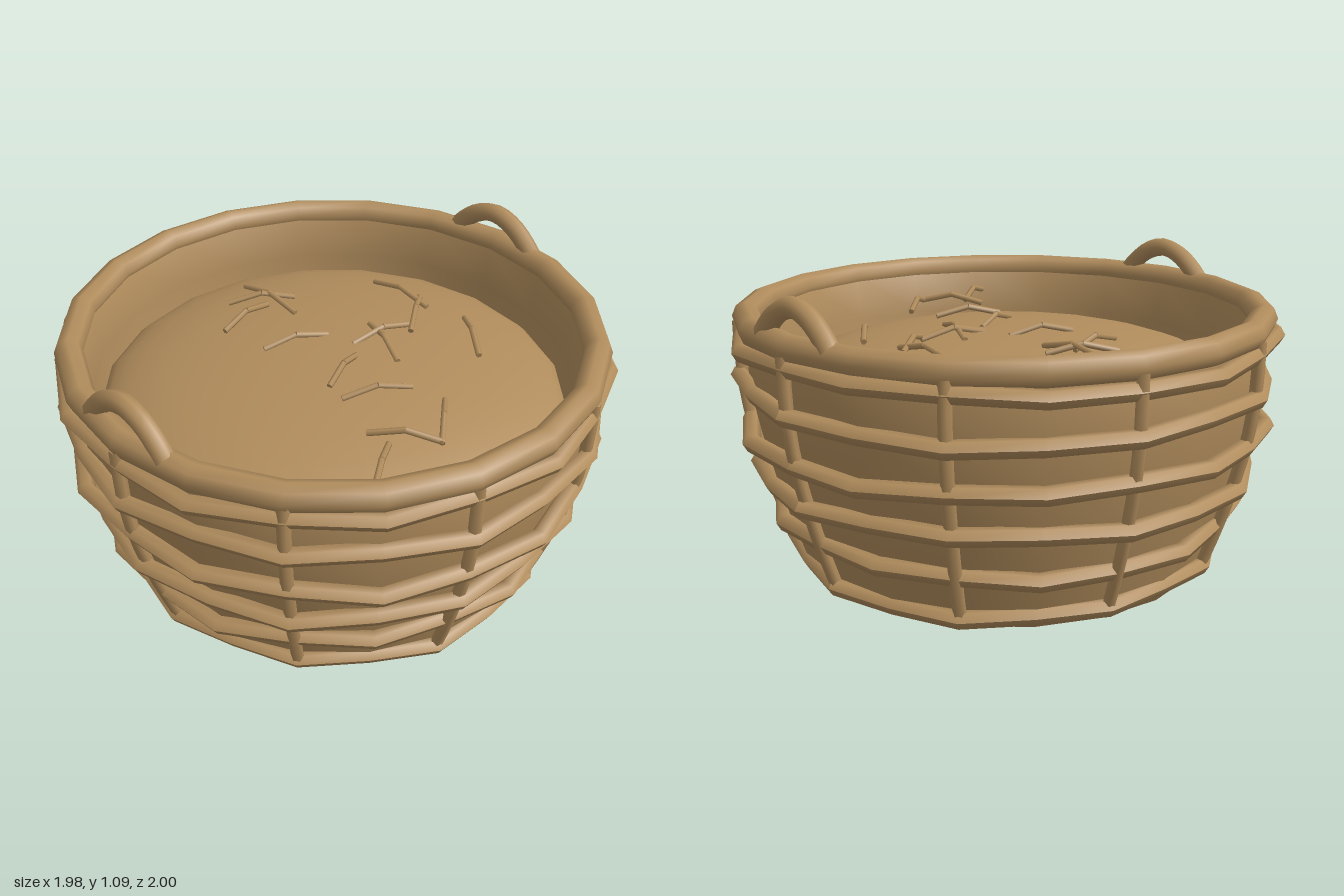
import * as THREE from 'three';

const SIDES = 20;
const STAKES = 10;
const V = (x, y, z) => new THREE.Vector3(x, y, z);

export function createModel() {
  const model = new THREE.Group();
  const wicker = new THREE.MeshStandardMaterial({ color: 0xb08c5c });
  wicker.name = 'wicker';

  const add = (name, geometry, parent = model) => {
    const mesh = new THREE.Mesh(geometry, wicker);
    mesh.name = name;
    parent.add(mesh);
    return mesh;
  };
  const group = (name) => {
    const g = new THREE.Group();
    g.name = name;
    model.add(g);
    return g;
  };

  // Round rod between two points
  const rod = (name, a, b, radius, parent) => {
    const dir = b.clone().sub(a);
    const mesh = add(name, new THREE.CylinderGeometry(radius, radius, dir.length(), 6), parent);
    mesh.position.copy(a).add(b).multiplyScalar(0.5);
    mesh.quaternion.setFromUnitVectors(V(0, 1, 0), dir.normalize());
  };

  // Bowl wall: outside going up, then the inside going down
  const wall = [
    [0.70, 0], [0.75, 0.025], [0.77, 0.08], [0.825, 0.24], [0.87, 0.4], [0.905, 0.55],
    [0.925, 0.7], [0.93, 0.92], [0.88, 0.92], [0.865, 0.75], [0.84, 0.55], [0.8, 0.4],
  ].map(([r, y]) => new THREE.Vector2(r, y));
  add('basketWall', new THREE.LatheGeometry(wall, SIDES));

  // Flat underside
  const base = new THREE.CircleGeometry(0.70, SIDES);
  base.rotateX(Math.PI / 2);
  add('basketBase', base);

  // Rim
  const rim = new THREE.TorusGeometry(0.922, 0.05, 8, SIDES);
  rim.rotateX(Math.PI / 2);
  add('rim', rim).position.y = 0.925;

  // Woven bands, passing alternately over and under the stakes
  const bands = group('wovenBands');
  const rows = [[0.775, 0.075], [0.838, 0.235], [0.893, 0.39], [0.937, 0.545], [0.945, 0.705], [0.955, 0.86]];
  rows.forEach(([radius, y], i) => {
    const g = new THREE.TorusGeometry(radius, 0.032, 6, SIDES);
    g.rotateX(Math.PI / 2);
    const p = g.attributes.position;
    const sign = i % 2 ? -1 : 1;
    for (let k = 0; k < p.count; k++) {
      const x = p.getX(k), z = p.getZ(k);
      const a = Math.atan2(z, x);
      const out = 0.013 * sign * Math.cos(STAKES * a);
      p.setXYZ(k, x + out * Math.cos(a), p.getY(k) + 0.009 * Math.sin(3 * a + i * 1.7), z + out * Math.sin(a));
    }
    g.computeVertexNormals();
    add('wovenBand', g, bands).position.y = y;
  });

  // Upright stakes following the wall
  const stakes = group('stakes');
  const lean = [[0.785, 0.08], [0.842, 0.24], [0.89, 0.4], [0.925, 0.55], [0.947, 0.7], [0.952, 0.91]];
  for (let i = 0; i < STAKES; i++) {
    const curve = new THREE.CatmullRomCurve3(lean.map(([r, y]) => V(r, y, 0)));
    const stake = add('stake', new THREE.TubeGeometry(curve, 8, 0.023, 6), stakes);
    stake.rotation.y = (i / STAKES) * Math.PI * 2;
  }

  // Arched handles on both sides
  for (const side of [1, -1]) {
    const x = 0.9 * side;
    const arch = new THREE.CatmullRomCurve3([
      V(x, 0.92, -0.2), V(x, 0.965, -0.165), V(x, 1.03, -0.085), V(x, 1.055, 0),
      V(x, 1.03, 0.085), V(x, 0.965, 0.165), V(x, 0.92, 0.2),
    ]);
    add(side > 0 ? 'leftHandle' : 'rightHandle', new THREE.TubeGeometry(arch, 14, 0.036, 8));
  }

  // Domed filling
  const filling = new THREE.SphereGeometry(0.85, SIDES, 10, 0, Math.PI * 2, 0, Math.PI / 2);
  filling.scale(1, 0.2 / 0.85, 1);
  add('filling', filling).position.y = 0.65;

  // Loose bent straws: start x, z and end x, z
  const straws = group('straws');
  const layout = [
    [-0.06, -0.5, 0.15, -0.36], [0.07, -0.55, 0.07, -0.27], [-0.2, -0.36, 0.04, -0.39],
    [-0.18, -0.17, 0.05, -0.08], [0.45, -0.22, 0.45, 0.05], [0.07, 0.03, 0.32, 0.09],
    [0.21, -0.02, 0.1, 0.22], [0.49, -0.02, 0.28, 0.12], [-0.18, 0.16, 0.03, 0.09],
    [-0.2, 0.24, 0.02, 0.36], [0.49, 0.2, 0.33, 0.4], [-0.28, 0.43, -0.14, 0.64],
    [0.04, 0.49, -0.15, 0.64], [-0.48, 0.65, -0.27, 0.52],
  ];
  for (const [x1, z1, x2, z2] of layout) {
    const mid = V((x1 + x2) / 2, 0.875, (z1 + z2) / 2);
    rod('straw', V(x1, 0.845, z1), mid, 0.011, straws);
    rod('straw', mid, V(x2, 0.845, z2), 0.011, straws);
  }

  return model;
}
